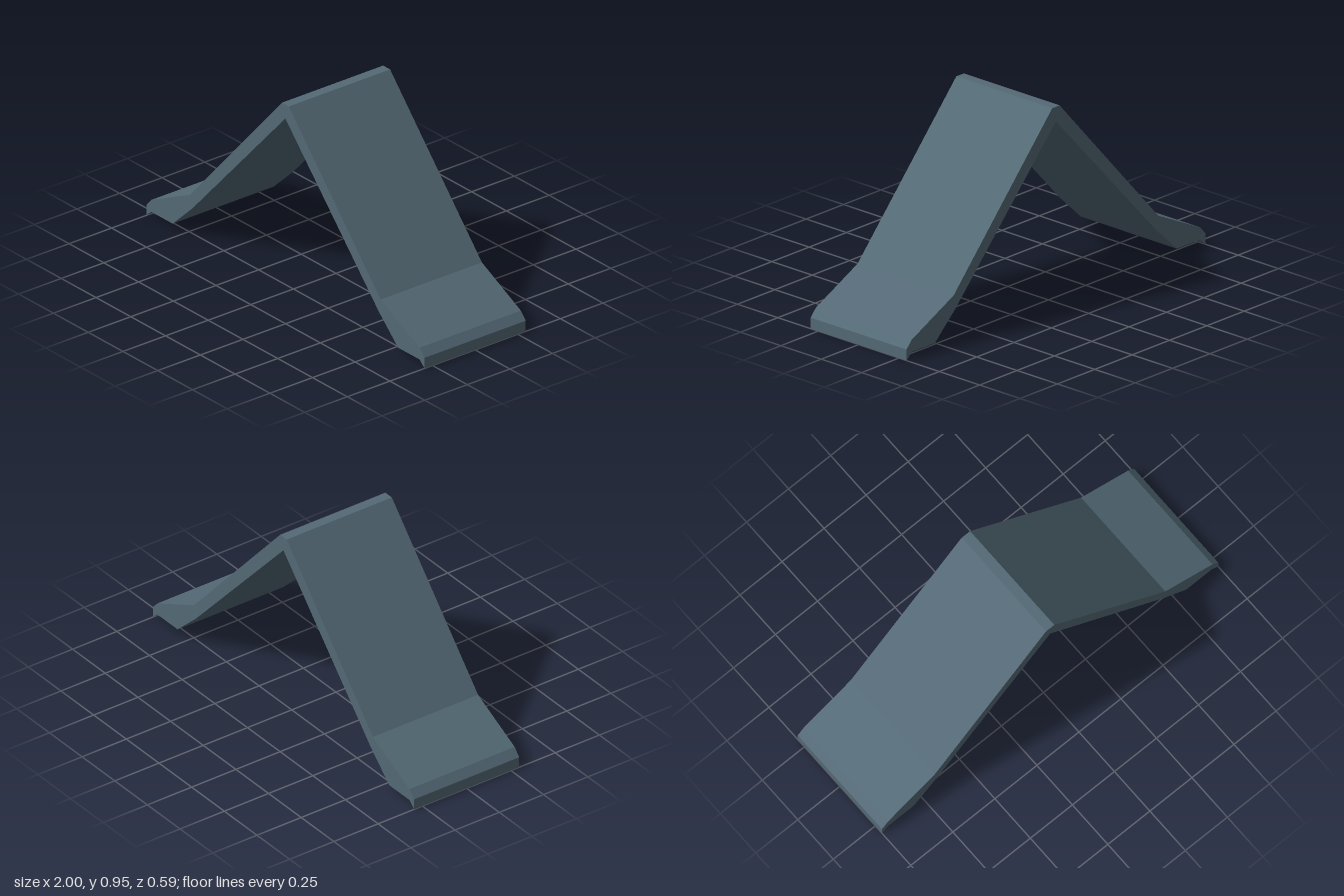
import * as THREE from 'three';

export function createModel() {
  const group = new THREE.Group();
  group.name = 'gableRoof';
  const slate = new THREE.MeshStandardMaterial({ color: 0x546a76 });
  slate.name = 'slate';

  // Half of the cross-section: down the outer slope, around the eave, back up inside
  const half = [
    [0.025, 0.953], [0.685, 0.228], [0.965, 0.092], [1, 0.054], [1, 0],
    [0.965, 0.032], [0.81, 0.032], [0.67, 0.163],
  ];
  const mirrored = half.map(([x, y]) => [-x, y]).reverse();
  const outline = [...half, [0, 0.882], ...mirrored];
  const profile = new THREE.Shape(outline.map(([x, y]) => new THREE.Vector2(x, y)));

  // Roof shell: the section swept along z
  const depth = 0.594;
  const geometry = new THREE.ExtrudeGeometry(profile, { depth, bevelEnabled: false });
  geometry.translate(0, 0, -depth / 2);
  const roof = new THREE.Mesh(geometry, slate);
  roof.name = 'roofShell';
  group.add(roof);
  return group;
}
